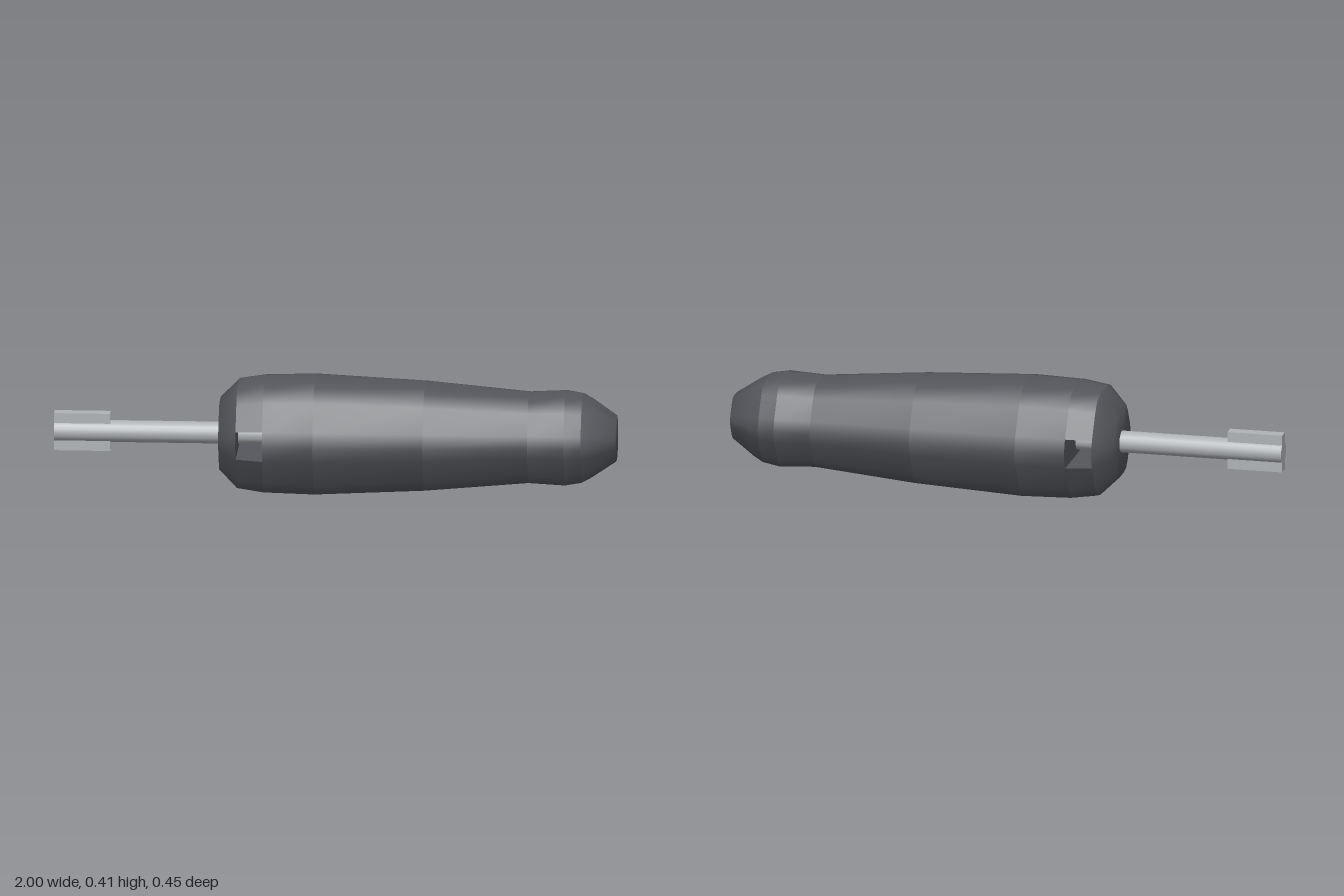
import * as THREE from 'three';

const CY = 0.206; // height of the tool axis
const SIDES = 18; // six corners, three points each

const steel = new THREE.MeshStandardMaterial({ color: 0xb0b3b6 });
steel.name = 'steel';
const grip = new THREE.MeshStandardMaterial({ color: 0x55575c });
grip.name = 'dark grip';
const slotGrip = grip.clone();
slotGrip.name = 'dark grip, inside';
slotGrip.side = THREE.DoubleSide;

// Point i of the rounded hexagon at x, r being the radius at its corners
function ringPoint(x, r, i) {
  const step = ((i % SIDES) + SIDES) % SIDES;
  const offset = [0, 15, 45][step % 3];
  const t = THREE.MathUtils.degToRad(Math.floor(step / 3) * 60 + offset);
  const k = step % 3 === 0 ? r : r * 0.952;
  return [x, CY + k * Math.sin(t), k * Math.cos(t)];
}

// Skin over rings [x, r], smooth inside; skip(i) leaves out a panel
function skin(rings, skip = () => false) {
  const positions = [];
  const index = [];
  rings.forEach(([x, r]) => {
    for (let i = 0; i < SIDES; i++) positions.push(...ringPoint(x, r, i));
  });
  for (let j = 0; j < rings.length - 1; j++) {
    for (let i = 0; i < SIDES; i++) {
      if (skip(i)) continue;
      const n = (i + 1) % SIDES;
      const a = j * SIDES + i, b = j * SIDES + n;
      const c = b + SIDES, d = a + SIDES;
      if (rings[j + 1][1] > 0) index.push(a, d, c);
      else index.push(a, d, b);
      if (rings[j][1] > 0 && rings[j + 1][1] > 0) index.push(a, c, b);
    }
  }
  const geometry = new THREE.BufferGeometry();
  geometry.setAttribute('position', new THREE.Float32BufferAttribute(positions, 3));
  geometry.setIndex(index);
  geometry.computeVertexNormals();
  return geometry;
}

// Flat polygon from a loop of points
function polygon(points) {
  const positions = [];
  for (let i = 1; i < points.length - 1; i++) {
    positions.push(...points[0], ...points[i], ...points[i + 1]);
  }
  const geometry = new THREE.BufferGeometry();
  geometry.setAttribute('position', new THREE.Float32BufferAttribute(positions, 3));
  geometry.computeVertexNormals();
  return geometry;
}

export function createModel() {
  const model = new THREE.Group();
  model.name = 'handTool';
  const add = (name, geometry, material, parent = model) => {
    const mesh = new THREE.Mesh(geometry, material);
    mesh.name = name;
    parent.add(mesh);
    return mesh;
  };

  // Handle: bands with a crease between them
  const handle = new THREE.Group();
  handle.name = 'handle';
  model.add(handle);
  const slotStart = [-0.345, 0.203];
  const slotEnd = [-0.25, 0.218];
  const inSlot = (i) => [0, 8, 9, 17].includes(i); // panels at the front and back corners
  add('collar', skin([[-0.41, 0], [-0.41, 0.135], slotStart]), grip, handle);
  add('slottedBand', skin([slotStart, slotEnd], inSlot), grip, handle);
  const body = [slotEnd, [-0.07, 0.223], [0.32, 0.203], [0.69, 0.169], [0.82, 0.176], [0.88, 0.165]];
  for (let i = 0; i < body.length - 1; i++) {
    add('gripBand' + (i + 1), skin([body[i], body[i + 1]]), grip, handle);
  }
  add('nose', skin([[0.88, 0.165], [0.915, 0.145], [1, 0.085], [1, 0]]), grip, handle);

  // Slot through the handle: end walls, ceiling and floor
  for (const [x, r] of [slotStart, slotEnd]) {
    add('slotEndWall', polygon([17, 0, 1, 8, 9, 10].map((i) => ringPoint(x, r, i))), slotGrip, handle);
  }
  for (const [i, j] of [[1, 8], [17, 10]]) {
    add('slotSideWall', polygon([
      ringPoint(...slotStart, i), ringPoint(...slotEnd, i),
      ringPoint(...slotEnd, j), ringPoint(...slotStart, j),
    ]), slotGrip, handle);
  }

  // Shaft with a key above and below at its tip
  const shaft = add('shaft', new THREE.CylinderGeometry(0.039, 0.039, 0.78, 18), steel);
  shaft.rotation.z = Math.PI / 2;
  shaft.position.set(-0.61, CY, 0);
  for (const side of [-1, 1]) {
    const key = add('key', new THREE.BoxGeometry(0.2, 0.04, 0.044), steel);
    key.position.set(-0.9, CY + side * 0.048, 0);
  }
  return model;
}
